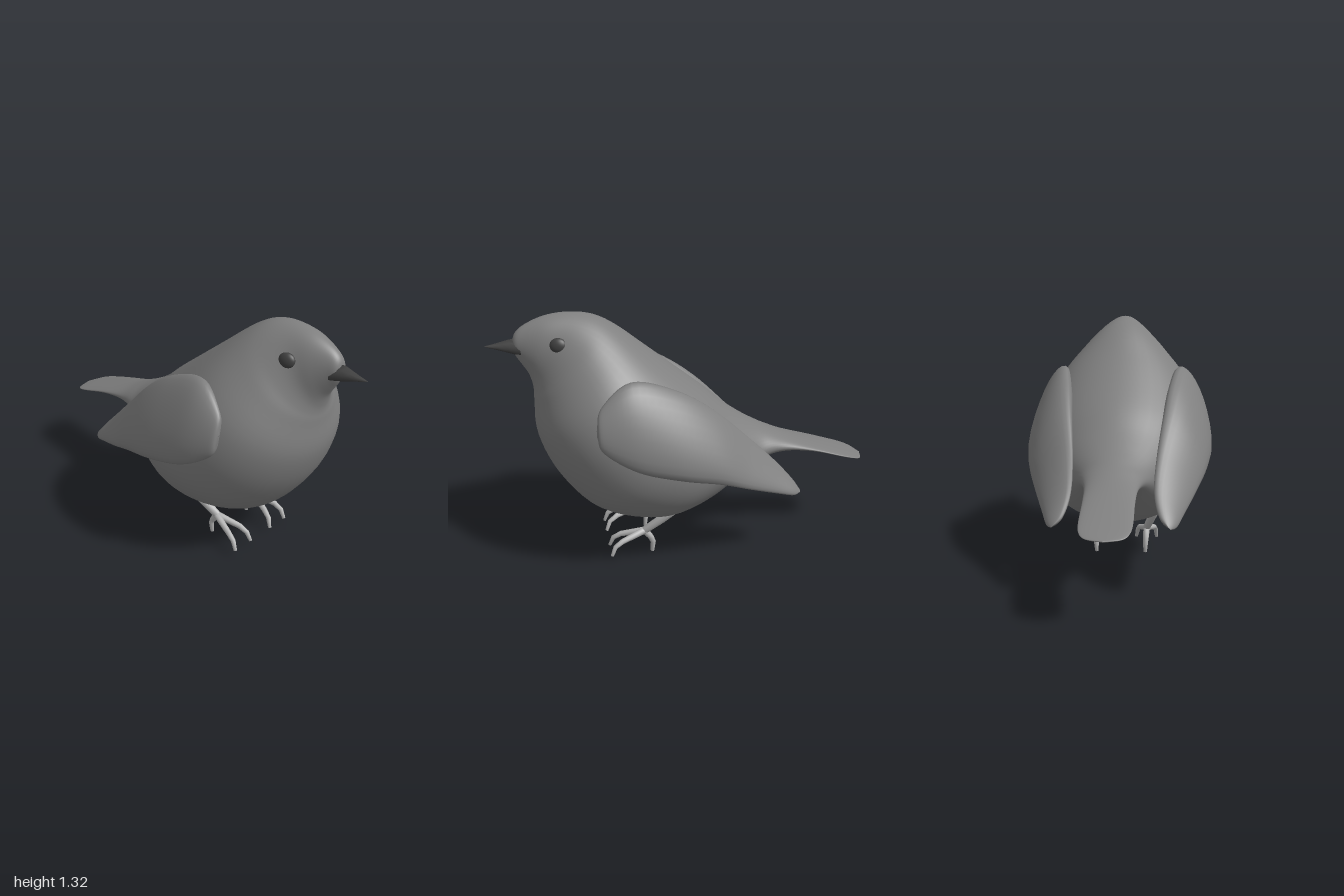
import * as THREE from 'three';

const V = (x, y, z) => new THREE.Vector3(x, y, z);
const material = (name, color) => {
  const m = new THREE.MeshStandardMaterial({ color });
  m.name = name;
  return m;
};

// Skin over closed rings of points, turned outward by the sign of its volume
function loft(rings) {
  const n = rings[0].length, pos = [], idx = [];
  rings.forEach(r => r.forEach(p => pos.push(p.x, p.y, p.z)));
  for (let i = 0; i < rings.length - 1; i++) {
    for (let j = 0; j < n; j++) {
      const a = i * n + j, b = i * n + (j + 1) % n, c = a + n, d = b + n;
      idx.push(a, b, c, b, d, c);
    }
  }
  const pts = rings.flat();
  let volume = 0;
  for (let i = 0; i < idx.length; i += 3) {
    volume += pts[idx[i]].dot(pts[idx[i + 1]].clone().cross(pts[idx[i + 2]]));
  }
  if (volume < 0) idx.reverse();
  const g = new THREE.BufferGeometry();
  g.setAttribute('position', new THREE.Float32BufferAttribute(pos, 3));
  g.setIndex(idx);
  g.computeVertexNormals();
  return g;
}

const spline = pts => new THREE.CatmullRomCurve3(pts, false, 'catmullrom', 0.5);
const point = (p, n) => Array.from({ length: n }, () => p.clone());

// Body: elliptical sections, each spanning from the back line to the breast line
function bodyGeometry() {
  const sections = [ // back z, back y, breast z, breast y, half width
    [0.865, 1.17, 0.865, 1.16, 0], [0.85, 1.225, 0.855, 1.12, 0.035],
    [0.8, 1.268, 0.825, 1.07, 0.06], [0.7, 1.308, 0.795, 1.02, 0.095],
    [0.58, 1.32, 0.78, 0.97, 0.13], [0.46, 1.3, 0.775, 0.93, 0.185],
    [0.35, 1.24, 0.776, 0.87, 0.26], [0.2, 1.12, 0.77, 0.7, 0.38],
    [0.05, 1.0, 0.68, 0.49, 0.44], [-0.1, 0.88, 0.5, 0.29, 0.445],
    [-0.22, 0.775, 0.22, 0.2, 0.385], [-0.32, 0.705, 0, 0.24, 0.3],
    [-0.4, 0.66, -0.22, 0.365, 0.21], [-0.47, 0.625, -0.38, 0.47, 0.16],
    [-0.56, 0.585, -0.52, 0.505, 0.13], [-0.7, 0.535, -0.69, 0.495, 0.122],
    [-0.85, 0.483, -0.85, 0.455, 0.122], [-0.93, 0.455, -0.93, 0.435, 0.112],
    [-0.975, 0.438, -0.975, 0.424, 0.08], [-1, 0.43, -1, 0.425, 0],
  ];
  const back = spline(sections.map(s => V(s[4], s[1], s[0])));
  const breast = spline(sections.map(s => V(0, s[3], s[2])));
  const rings = [], steps = 95, sides = 48;
  for (let i = 0; i <= steps; i++) {
    const a = back.getPoint(i / steps), b = breast.getPoint(i / steps);
    const w = Math.max(a.x, 0);
    rings.push(Array.from({ length: sides }, (_, j) => {
      const t = j / sides * Math.PI * 2, k = (1 + Math.cos(t)) / 2;
      return V(w * Math.sin(t), b.y + (a.y - b.y) * k, b.z + (a.z - b.z) * k);
    }));
  }
  return loft(rings);
}

// Wing: bulged leaf between an upper and a lower edge
function wingGeometry(side) {
  const sections = [ // upper x y z, lower x y z, bulge
    [0.41, 0.85, 0.5, 0.415, 0.82, 0.5, 0], [0.37, 0.95, 0.47, 0.435, 0.74, 0.47, 0.035],
    [0.32, 1.05, 0.32, 0.465, 0.64, 0.31, 0.07], [0.28, 0.98, 0.1, 0.475, 0.58, 0.1, 0.08],
    [0.25, 0.85, -0.1, 0.45, 0.53, -0.1, 0.07], [0.215, 0.66, -0.3, 0.405, 0.465, -0.26, 0.05],
    [0.205, 0.52, -0.44, 0.35, 0.4, -0.42, 0.035], [0.23, 0.42, -0.53, 0.315, 0.362, -0.52, 0.022],
    [0.275, 0.37, -0.567, 0.285, 0.36, -0.565, 0],
  ];
  const upper = spline(sections.map(s => V(s[0], s[1], s[2])));
  const lower = spline(sections.map(s => V(s[3], s[4], s[5])));
  const bulge = spline(sections.map(s => V(s[6], 0, 0)));
  const rings = [], steps = 48, sides = 24;
  for (let i = 0; i <= steps; i++) {
    const u = upper.getPoint(i / steps), l = lower.getPoint(i / steps);
    const h = Math.max(bulge.getPoint(i / steps).x, 0);
    const half = u.clone().sub(l).multiplyScalar(0.5), mid = u.clone().add(l).multiplyScalar(0.5);
    const out = V(half.y, -half.x, 0).normalize();
    rings.push(Array.from({ length: sides }, (_, j) => {
      const t = j / sides * Math.PI * 2;
      const p = mid.clone().addScaledVector(half, Math.cos(t)).addScaledVector(out, h * Math.sin(t));
      p.x *= side;
      return p;
    }));
  }
  return loft(rings);
}

// Beak: lobed base outline shrinking to the tip
function beakGeometry() {
  const half = [ // x, y, z of the slanted base
    [0, 1.2, 0.86], [0.03, 1.188, 0.84], [0.052, 1.165, 0.805], [0.062, 1.145, 0.785],
    [0.058, 1.125, 0.79], [0.032, 1.12, 0.82], [0, 1.135, 0.83],
  ];
  const base = [...half, ...half.slice(1, -1).reverse().map(([x, y, z]) => [-x, y, z])];
  const rings = [point(V(0, 1.155, 0.8), base.length)];
  [[0, 1], [0.2, 0.84], [0.45, 0.57], [0.7, 0.31], [0.9, 0.13], [1, 0]].forEach(([t, s]) => {
    rings.push(base.map(([x, y, z]) => V(x * s, 1.167 + (y - 1.167) * s, z + (1 - z) * t)));
  });
  return loft(rings);
}

// Tapered limb through a few points
function limbGeometry(pts, radii, sides = 8) {
  const rings = pts.map((p, i) => {
    const dir = pts[Math.min(i + 1, pts.length - 1)].clone().sub(pts[Math.max(i - 1, 0)]).normalize();
    const a = V(1, 0, 0).cross(dir).normalize(), b = dir.clone().cross(a);
    return Array.from({ length: sides }, (_, j) => {
      const t = j / sides * Math.PI * 2;
      return p.clone().addScaledVector(a, radii[i] * Math.cos(t)).addScaledVector(b, radii[i] * Math.sin(t));
    });
  });
  return loft([point(pts[0], sides), ...rings, point(pts[pts.length - 1], sides)]);
}

export function createModel() {
  const plumage = material('plumage grey', 0x808080);
  const dark = material('beak and eye dark grey', 0x404040);
  const pale = material('leg light grey', 0xb4b4b4);
  const bird = new THREE.Group();
  bird.name = 'bird';
  const add = (name, geometry, mat, parent = bird) => {
    const mesh = new THREE.Mesh(geometry, mat);
    mesh.name = name;
    parent.add(mesh);
    return mesh;
  };

  add('body', bodyGeometry(), plumage);
  add('beak', beakGeometry(), dark);

  for (const [side, label] of [[1, 'left'], [-1, 'right']]) {
    add(label + 'Wing', wingGeometry(side), plumage);

    const eye = add(label + 'Eye', new THREE.SphereGeometry(1, 24, 16), dark);
    eye.scale.set(0.022, 0.037, 0.042);
    eye.position.set(side * 0.123, 1.19, 0.645);
    eye.rotation.set(0, side * -0.25, side * 0.2);

    // Leg with two forward toes and one rear toe
    const leg = new THREE.Group();
    leg.name = label + 'Leg';
    bird.add(leg);
    const limb = (name, pts, radii) =>
      add(name, limbGeometry(pts.map(p => V(side * p[0], p[1], p[2])), radii), pale, leg);
    limb('shank', [[0.195, 0.285, 0.085], [0.172, 0.215, 0.155], [0.145, 0.14, 0.245]], [0.028, 0.024, 0.021]);
    limb('outerToe', [[0.145, 0.14, 0.24], [0.185, 0.105, 0.37], [0.193, 0.08, 0.41], [0.197, 0.03, 0.43]],
      [0.019, 0.015, 0.013, 0.009]);
    limb('innerToe', [[0.145, 0.14, 0.24], [0.1, 0.105, 0.37], [0.088, 0.08, 0.41], [0.078, 0.03, 0.43]],
      [0.019, 0.015, 0.013, 0.009]);
    limb('rearToe', [[0.145, 0.145, 0.25], [0.142, 0.09, 0.212], [0.14, 0.06, 0.2], [0.138, 0.005, 0.205]],
      [0.02, 0.016, 0.014, 0.01]);
  }
  return bird;
}
